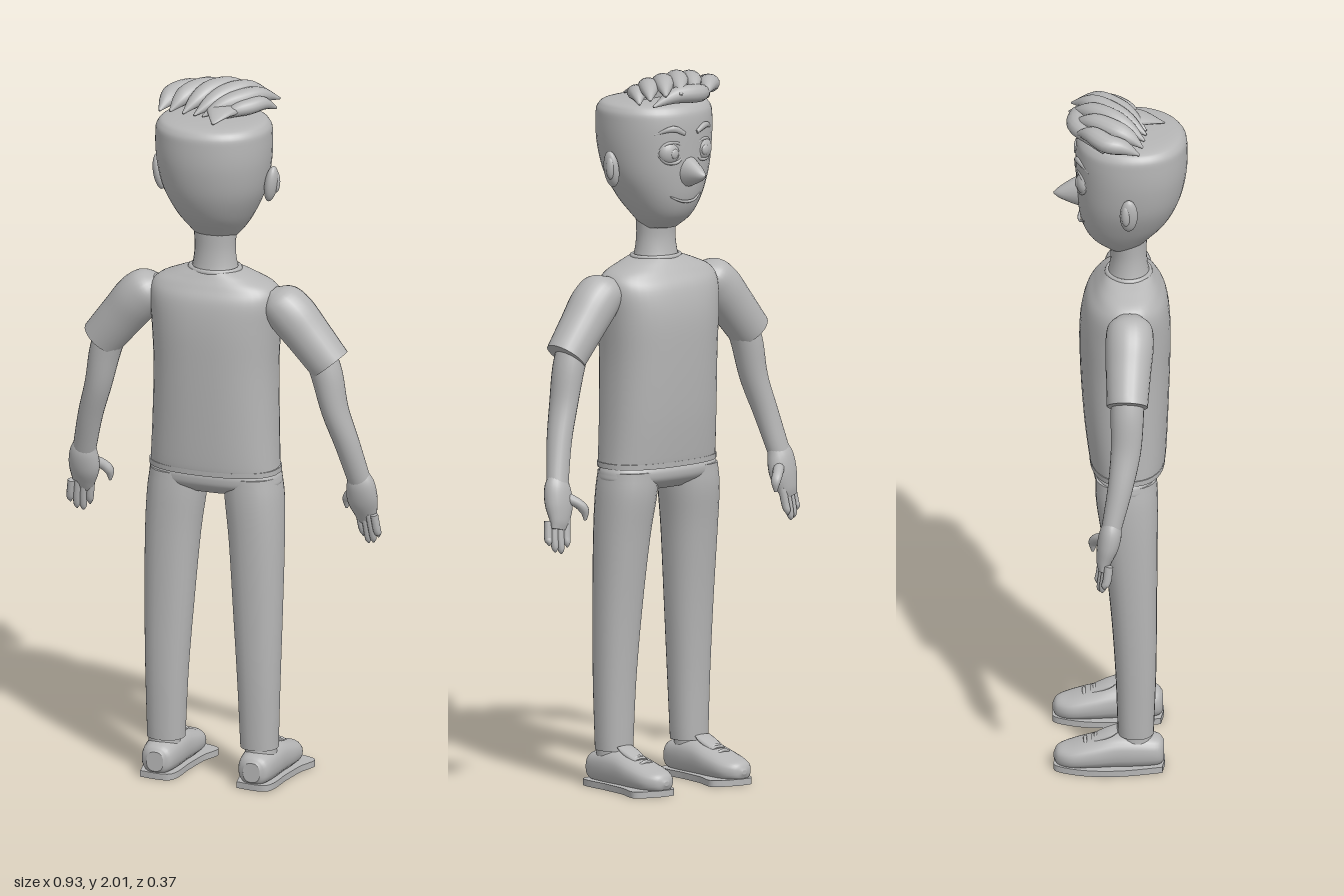
import * as THREE from 'three';

const V = (x, y, z) => new THREE.Vector3(x, y, z);
const Y = V(0, 1, 0), Z = V(0, 0, 1);
const grey = new THREE.MeshStandardMaterial({ color: 0xb6b6b6 });
grey.name = 'plain grey';

// Smooth body swept through sections [x, y, z, radius along ref, radius across].
// A fixed axis keeps every ring parallel; power > 2 makes the rings boxier.
function sweepGeometry(sections, { ref = Z, axis = null, power = 2, n = 24, steps = 5 } = {}) {
  const path = new THREE.CatmullRomCurve3(sections.map(s => V(s[0], s[1], s[2])), false, 'catmullrom', 0.5);
  const size = new THREE.CatmullRomCurve3(sections.map(s => V(s[3], s[4], 0)), false, 'catmullrom', 0.5);
  const rows = (sections.length - 1) * steps;
  const pos = [], idx = [];
  const soft = c => Math.sign(c) * Math.pow(Math.abs(c), 2 / power);
  const ring = r => {
    const t = r / rows, p = path.getPoint(t), s = size.getPoint(t);
    const d = axis ? axis.clone() : path.getTangent(t);
    const u = ref.clone().addScaledVector(d, -ref.dot(d)).normalize();
    const v = d.clone().cross(u);
    for (let j = 0; j < n; j++) {
      const a = (j / n) * Math.PI * 2;
      const q = p.clone().addScaledVector(u, Math.max(s.x, 0.0005) * soft(Math.cos(a)))
        .addScaledVector(v, Math.max(s.y, 0.0005) * soft(Math.sin(a)));
      pos.push(q.x, q.y, q.z);
    }
    return p;
  };
  for (let r = 0; r <= rows; r++) ring(r);
  for (let r = 0; r < rows; r++) for (let j = 0; j < n; j++) {
    const a = r * n + j, b = r * n + (j + 1) % n;
    idx.push(a, b, a + n, b, b + n, a + n);
  }
  for (const r of [0, rows]) { // end caps
    const base = pos.length / 3, p = ring(r), c = pos.length / 3;
    pos.push(p.x, p.y, p.z);
    for (let j = 0; j < n; j++) {
      const a = base + j, b = base + (j + 1) % n;
      if (r) idx.push(c, a, b); else idx.push(c, b, a);
    }
  }
  const g = new THREE.BufferGeometry();
  g.setAttribute('position', new THREE.Float32BufferAttribute(pos, 3));
  g.setIndex(idx);
  g.computeVertexNormals();
  return g;
}

export function createModel() {
  const model = new THREE.Group();
  const add = (name, geometry, parent = model) => {
    const m = new THREE.Mesh(geometry, grey);
    m.name = name;
    parent.add(m);
    return m;
  };
  const sweep = (name, secs, opt, parent) => add(name, sweepGeometry(secs, opt), parent);
  const ball = (name, p, r, parent) => {
    const m = add(name, new THREE.SphereGeometry(1, 24, 16), parent);
    m.position.set(...p);
    m.scale.set(...r);
    return m;
  };

  // Head and neck
  const head = new THREE.Group();
  head.name = 'head';
  model.add(head);
  sweep('skull', [
    [0, 1.565, 0.005, 0.045, 0.05], [0, 1.60, 0.0, 0.085, 0.08], [0, 1.65, 0.01, 0.12, 0.112],
    [0, 1.72, 0.022, 0.143, 0.144], [0, 1.80, 0.029, 0.154, 0.16], [0, 1.87, 0.03, 0.155, 0.163],
    [0, 1.905, 0.031, 0.147, 0.157], [0, 1.922, 0.03, 0.115, 0.125], [0, 1.928, 0.03, 0.002, 0.002],
  ], { axis: Y, n: 40, power: 2.1 }, head);
  sweep('neck', [
    [0, 1.46, 0.022, 0.066, 0.075], [0, 1.49, 0.022, 0.056, 0.064], [0, 1.54, 0.022, 0.05, 0.058], [0, 1.60, 0.02, 0.053, 0.062],
  ], { axis: Y }, head);
  sweep('nose', [
    [0, 1.735, -0.10, 0.05, 0.04], [0, 1.732, -0.135, 0.036, 0.028], [0, 1.728, -0.17, 0.016, 0.015], [0, 1.727, -0.187, 0.002, 0.002],
  ], { ref: Y, axis: V(0, 0, -1), n: 16 }, head);
  sweep('mouth', [
    [-0.055, 1.665, -0.101, 0.002, 0.002], [-0.02, 1.65, -0.114, 0.004, 0.004], [0.02, 1.65, -0.114, 0.004, 0.004], [0.055, 1.665, -0.101, 0.002, 0.002],
  ], { n: 8 }, head);
  for (const s of [-1, 1]) {
    const ear = ball('ear', [s * 0.165, 1.74, 0.02], [0.018, 0.052, 0.025], head);
    ear.rotation.z = -s * 0.15;
    ball('innerEar', [s * 0.176, 1.745, 0.012], [0.012, 0.032, 0.013], head);
    ball('eyeball', [s * 0.058, 1.79, -0.098], [0.036, 0.036, 0.027], head);
    ball('iris', [s * 0.056, 1.788, -0.122], [0.013, 0.014, 0.006], head);
    // Eyelids wrap over and under the eyeball
    for (const [name, k] of [['upperLid', 1], ['lowerLid', -1]]) {
      sweep(name, [
        [s * 0.02, 1.79, -0.116, 0.003, 0.003], [s * 0.04, 1.79 + k * 0.026, -0.117, 0.006, 0.005],
        [s * 0.075, 1.79 + k * 0.026, -0.108, 0.006, 0.005], [s * 0.097, 1.79, -0.092, 0.003, 0.003],
      ], { n: 8 }, head);
    }
    sweep('eyebrow', [
      [s * 0.022, 1.842, -0.125, 0.005, 0.006], [s * 0.06, 1.858, -0.119, 0.006, 0.009], [s * 0.105, 1.842, -0.09, 0.002, 0.002],
    ], { n: 10 }, head);
  }

  // Swept-back hair: tapered locks [start, middle, end, thickness, width]
  const locks = [
    [[-0.155, 1.925, 0.05], [-0.14, 1.955, -0.04], [-0.06, 1.945, -0.125], 0.026, 0.03],
    [[-0.12, 1.93, 0.06], [-0.085, 1.97, -0.02], [-0.01, 1.955, -0.135], 0.026, 0.03],
    [[-0.08, 1.93, 0.065], [-0.03, 1.978, -0.03], [0.05, 1.955, -0.142], 0.026, 0.03],
    [[-0.045, 1.93, 0.07], [0.02, 1.974, -0.03], [0.10, 1.955, -0.135], 0.026, 0.03],
    [[-0.02, 1.93, 0.07], [0.06, 1.965, -0.015], [0.14, 1.945, -0.115], 0.025, 0.03],
    [[0.03, 1.925, 0.06], [0.09, 1.95, 0.0], [0.145, 1.93, -0.075], 0.022, 0.027],
    [[-0.13, 1.92, -0.05], [-0.02, 1.95, -0.12], [0.12, 1.925, -0.105], 0.026, 0.03],
  ];
  for (const [a, b, c, t, w] of locks) {
    const mid = (p, q, lift) => [(p[0] + q[0]) / 2, (p[1] + q[1]) / 2 + lift, (p[2] + q[2]) / 2];
    sweep('hairLock', [
      [...a, 0.003, 0.003], [...mid(a, b, 0.006), t * 0.8, w * 0.8], [...b, t, w], [...mid(b, c, 0.012), t * 0.85, w * 0.85], [...c, 0.003, 0.003],
    ], { ref: Y, n: 14 }, head);
  }
  // Pointed tuft at the crown
  const tuft = sweep('crownTuft', [
    [0.03, 1.94, 0.0, 0.02, 0.06], [0.03, 1.944, 0.06, 0.012, 0.04], [0.03, 1.928, 0.122, 0.002, 0.003],
  ], { ref: Y, n: 12 }, head);
  tuft.rotation.y = 0;

  // Shirt
  sweep('shirtBody', [
    [0, 0.903, 0.018, 0.102, 0.186], [0, 0.93, 0.018, 0.108, 0.184], [0, 1.05, 0.014, 0.118, 0.179], [0, 1.2, 0.012, 0.125, 0.176],
    [0, 1.32, 0.012, 0.126, 0.182], [0, 1.40, 0.015, 0.114, 0.188], [0, 1.44, 0.018, 0.092, 0.172],
    [0, 1.465, 0.02, 0.075, 0.12], [0, 1.482, 0.022, 0.063, 0.072],
  ], { axis: Y, power: 2.4, n: 40 });
  add('collar', new THREE.TorusGeometry(0.066, 0.008, 8, 32).rotateX(Math.PI / 2).scale(1.05, 1, 0.9).translate(0, 1.48, 0.022));
  sweep('hem', [[0, 0.9, 0.018, 0.105, 0.189], [0, 0.915, 0.018, 0.106, 0.189]], { axis: Y, power: 2.4, n: 40 });

  // Trousers
  sweep('hips', [
    [0, 0.835, 0.014, 0.05, 0.1], [0, 0.86, 0.014, 0.085, 0.183], [0, 0.885, 0.014, 0.093, 0.19], [0, 0.905, 0.016, 0.088, 0.182],
  ], { axis: Y, power: 2.5, n: 36 });

  for (const s of [-1, 1]) {
    sweep('trouserLeg', [
      [s * 0.138, 0.105, 0.04, 0.05, 0.053], [s * 0.136, 0.3, 0.04, 0.057, 0.06], [s * 0.131, 0.5, 0.034, 0.065, 0.069],
      [s * 0.124, 0.7, 0.024, 0.077, 0.077], [s * 0.115, 0.82, 0.016, 0.086, 0.082], [s * 0.108, 0.89, 0.014, 0.085, 0.08],
    ], { axis: Y, power: 2.2 });

    // Arm: sleeve, forearm and hand
    const arm = new THREE.Group();
    arm.name = 'arm';
    model.add(arm);
    sweep('sleeve', [
      [s * 0.165, 1.425, 0.022, 0.03, 0.02], [s * 0.187, 1.405, 0.022, 0.06, 0.055], [s * 0.225, 1.37, 0.022, 0.067, 0.067],
      [s * 0.275, 1.31, 0.018, 0.063, 0.064], [s * 0.338, 1.232, 0.014, 0.057, 0.06],
    ], {}, arm);
    sweep('forearm', [
      [s * 0.30, 1.28, 0.016, 0.045, 0.045], [s * 0.328, 1.2, 0.014, 0.046, 0.044], [s * 0.35, 1.1, 0.01, 0.042, 0.038],
      [s * 0.38, 1.0, -0.006, 0.035, 0.035], [s * 0.407, 0.89, -0.03, 0.028, 0.033],
    ], {}, arm);
    sweep('palm', [
      [s * 0.402, 0.91, -0.028, 0.022, 0.03], [s * 0.41, 0.875, -0.033, 0.031, 0.041], [s * 0.412, 0.83, -0.042, 0.03, 0.044],
      [s * 0.418, 0.79, -0.052, 0.021, 0.034], [s * 0.424, 0.765, -0.056, 0.012, 0.026],
    ], { n: 20 }, arm);
    sweep('thumb', [
      [s * 0.39, 0.85, -0.05, 0.016, 0.016], [s * 0.368, 0.835, -0.07, 0.015, 0.014],
      [s * 0.352, 0.815, -0.08, 0.014, 0.013], [s * 0.35, 0.787, -0.082, 0.004, 0.004],
    ], { n: 12 }, arm);
    for (let i = 0; i < 4; i++) {
      const x = 0.397 + i * 0.017, tip = [0.715, 0.698, 0.703, 0.722][i], z = -0.062 + i * 0.006;
      sweep('finger', [
        [s * x, 0.79, z + 0.006, 0.012, 0.011], [s * (x + 0.006), 0.745, z, 0.012, 0.011],
        [s * (x + 0.008), tip + 0.012, z - 0.006, 0.01, 0.009], [s * (x + 0.008), tip, z - 0.007, 0.002, 0.002],
      ], { n: 10, steps: 3 }, arm);
    }

    // Shoe: flared sole, rounded upper, tongue and laces
    const shoe = new THREE.Group();
    shoe.name = 'shoe';
    shoe.position.x = s * 0.143;
    model.add(shoe);
    const outline = new THREE.Shape();
    outline.moveTo(-0.045, 0.113);
    outline.splineThru([[0.045, 0.113], [0.06, 0], [0.07, -0.08], [0.088, -0.15], [0.035, -0.18], [0, -0.187], [-0.035, -0.178],
      [-0.063, -0.1], [-0.066, 0], [-0.045, 0.113]].map(p => new THREE.Vector2(...p)));
    add('sole', new THREE.ExtrudeGeometry(outline, { depth: 0.018, bevelEnabled: false, curveSegments: 40 })
      .rotateX(Math.PI / 2).translate(0, 0.018, 0), shoe);
    sweep('upper', [
      [0, 0.05, 0.118, 0.028, 0.025], [0, 0.053, 0.1, 0.042, 0.045], [0, 0.057, 0.04, 0.05, 0.054], [0, 0.057, -0.02, 0.05, 0.057],
      [0, 0.049, -0.08, 0.042, 0.06], [0, 0.04, -0.14, 0.033, 0.055], [0, 0.037, -0.175, 0.025, 0.034], [0, 0.036, -0.188, 0.006, 0.008],
    ], { ref: Y, axis: V(0, 0, -1), power: 2.4 }, shoe);
    sweep('ankle', [[0, 0.06, 0.04, 0.052, 0.046], [0, 0.125, 0.04, 0.043, 0.043]], { axis: Y }, shoe);
    sweep('tongue', [[0, 0.085, -0.08, 0.01, 0.025], [0, 0.105, -0.035, 0.01, 0.03], [0, 0.118, -0.01, 0.004, 0.028]], { ref: Y, n: 14 }, shoe);
    for (const [y, z] of [[0.108, -0.035], [0.098, -0.065], [0.088, -0.095]]) {
      sweep('lace', [[-0.045, y - 0.025, z, 0.004, 0.004], [0, y, z - 0.006, 0.005, 0.005], [0.045, y - 0.025, z, 0.004, 0.004]], { n: 8 }, shoe);
    }
  }
  return model;
}
